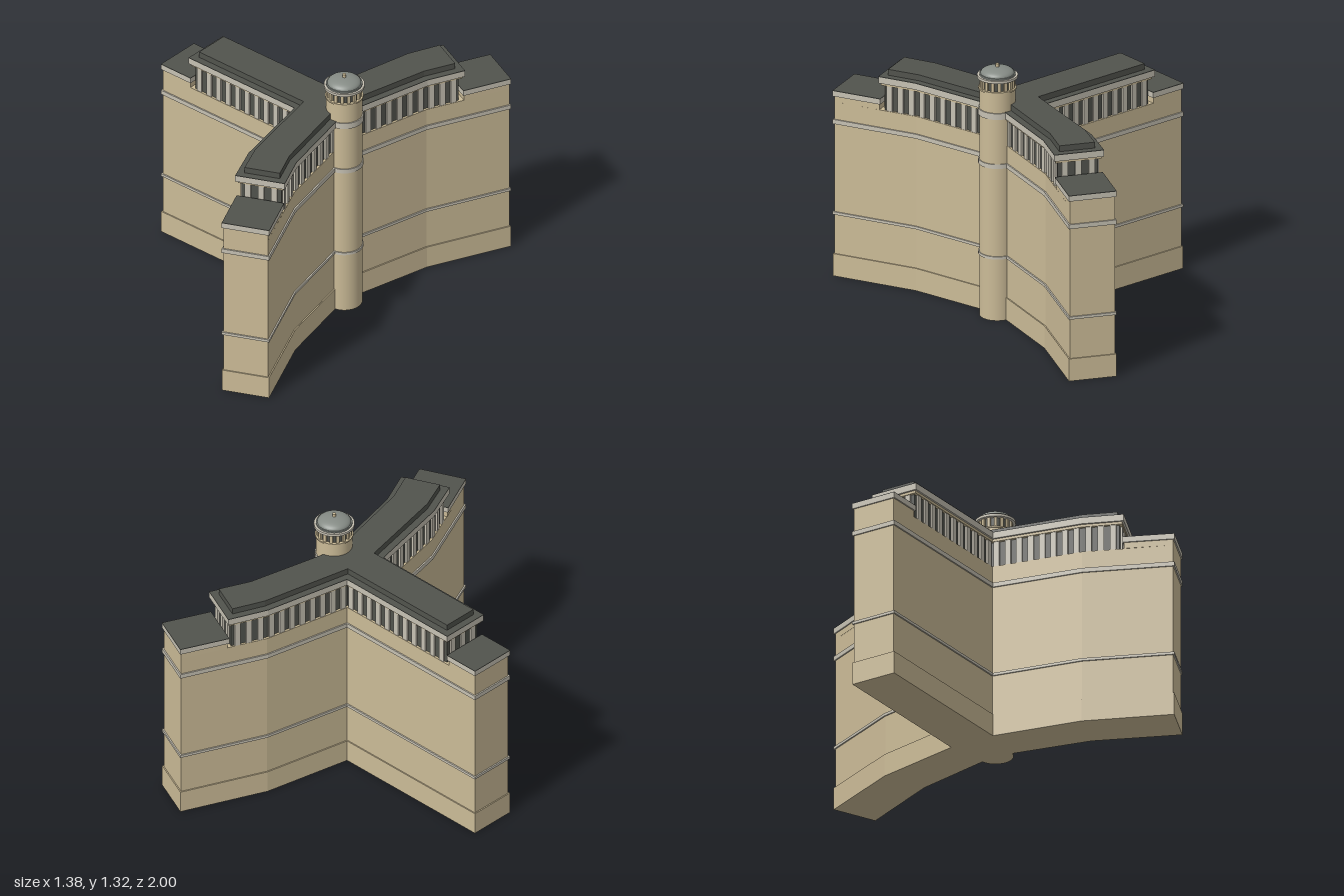
import * as THREE from 'three';
import { mergeGeometries } from 'three/addons/utils/BufferGeometryUtils.js';

const mat = (name, color) => {
  const m = new THREE.MeshStandardMaterial({ color });
  m.name = name;
  return m;
};

// Moves every edge of a counter-clockwise polygon outward by d, with mitred corners
function offset(pts, d) {
  const n = pts.length;
  return pts.map((p, i) => {
    const a = p.clone().sub(pts[(i + n - 1) % n]).normalize();
    const b = pts[(i + 1) % n].clone().sub(p).normalize();
    const na = new THREE.Vector2(a.y, -a.x), nb = new THREE.Vector2(b.y, -b.x);
    return p.clone().addScaledVector(na.clone().add(nb), d / (1 + na.dot(nb)));
  });
}

// Plan points are (x, -z); stemCut and armCut shorten the three wings
const V = (x, y) => new THREE.Vector2(x, y);
const wing = V(0.415, 0.91).normalize();
function footprint(stemCut = 0, armCut = 0) {
  const half = [
    V(0.387, 0), V(0.5, 0.49),
    V(0.686, 0.9).addScaledVector(wing, -armCut),
    V(0.466, 0.998).addScaledVector(wing, -armCut),
    V(0.28, 0.578), V(0.183, 0.122), V(-0.69 + stemCut, 0.122),
  ];
  const mirrored = half.slice(1).reverse().map((p) => V(p.x, -p.y));
  return [...half, ...mirrored];
}

function prism(pts, y0, y1) {
  const g = new THREE.ExtrudeGeometry(new THREE.Shape(pts), { depth: y1 - y0, bevelEnabled: false });
  return g.rotateX(-Math.PI / 2).translate(0, y0, 0);
}

export function createModel() {
  const group = new THREE.Group();
  const sand = mat('sandstone', 0xcbbb97);
  const stone = mat('paleStone', 0xc6c1b3);
  const dark = mat('darkRoof', 0x51534d);
  const metal = mat('domeMetal', 0x858b85);
  const add = (name, geo, m) => {
    const mesh = new THREE.Mesh(geo, m);
    mesh.name = name;
    group.add(mesh);
    return mesh;
  };

  const STEM = 0.19, ARM = 0.255;
  const full = footprint(), upper = footprint(STEM, ARM);
  const layer = (name, plan, d, y0, y1, m) => add(name, prism(offset(plan, d), y0, y1), m);

  // Main walls and string courses
  layer('plinth', full, 0, 0, 0.117, sand);
  layer('walls', full, -0.006, 0.117, 0.915, sand);
  layer('lowerBand', full, 0.001, 0.324, 0.338, stone);
  layer('upperBand', full, 0.001, 0.801, 0.824, stone);

  // Lower blocks at the wing tips: edges i..j of the full plan back to the cut
  const tips = [
    ['leftWingTip', 2], ['stemTip', 6], ['rightWingTip', 10],
  ];
  for (const [name, i] of tips) {
    const quad = [upper[i], full[i], full[i + 1], upper[i + 1]];
    layer(name + 'Wall', quad, -0.006, 0.915, 0.946, sand);
    layer(name + 'Cornice', quad, 0.001, 0.946, 0.973, stone);
    layer(name + 'Roof', quad, 0.001, 0.973, 0.976, dark);
  }

  // Recessed top storey with square columns
  const wallLine = offset(upper, -0.018);
  layer('recessedStorey', upper, -0.018, 0.915, 1.05, dark);
  const columns = [];
  wallLine.forEach((p, i) => {
    const q = wallLine[(i + 1) % wallLine.length];
    const len = p.distanceTo(q), n = Math.round(len / 0.06);
    const angle = Math.atan2(q.y - p.y, q.x - p.x);
    for (let k = 0; k < n; k++) {
      const c = p.clone().lerp(q, (k + 0.5) / n);
      columns.push(new THREE.BoxGeometry(0.03, 0.132, 0.02)
        .rotateY(angle).translate(c.x, 0.981, -c.y));
    }
  });
  add('columns', mergeGeometries(columns), stone);
  layer('architrave', upper, -0.004, 1.047, 1.062, sand);
  layer('mainCornice', upper, 0.006, 1.06, 1.092, stone);
  layer('roofDeck', upper, 0.006, 1.092, 1.095, dark);
  layer('raisedRoof', upper, -0.03, 1.095, 1.126, dark);

  // Round stair tower
  const tx = 0.39;
  const disc = (name, r, y0, y1, m) =>
    add(name, new THREE.CylinderGeometry(r, r, y1 - y0, 40).translate(tx, (y0 + y1) / 2, 0), m);
  disc('towerShaft', 0.089, 0, 1.195, sand);
  disc('towerLowerBand', 0.094, 0.324, 0.338, stone);
  disc('towerUpperBand', 0.094, 0.801, 0.824, stone);
  disc('towerCornice', 0.095, 1.06, 1.092, stone);
  disc('lanternSill', 0.094, 1.193, 1.201, sand);
  disc('lanternCore', 0.078, 1.201, 1.252, dark);
  const posts = [];
  for (let k = 0; k < 16; k++) {
    posts.push(new THREE.BoxGeometry(0.016, 0.053, 0.018)
      .translate(0, 1.2265, 0.078).rotateY((k + 0.5) * Math.PI / 8).translate(tx, 0, 0));
  }
  add('lanternPosts', mergeGeometries(posts), sand);
  disc('lanternCornice', 0.1, 1.251, 1.264, stone);

  // Dome and finial
  disc('domeBase', 0.089, 1.264, 1.272, metal);
  const profile = [];
  for (let k = 0; k <= 10; k++) {
    const a = (k / 10) * Math.PI / 2;
    profile.push(V(k === 10 ? 0 : 0.083 * Math.cos(a), 1.272 + 0.032 * Math.sin(a)));
  }
  add('dome', new THREE.LatheGeometry(profile, 40).translate(tx, 0, 0), metal);
  disc('finial', 0.009, 1.3, 1.32, sand);

  return group;
}
